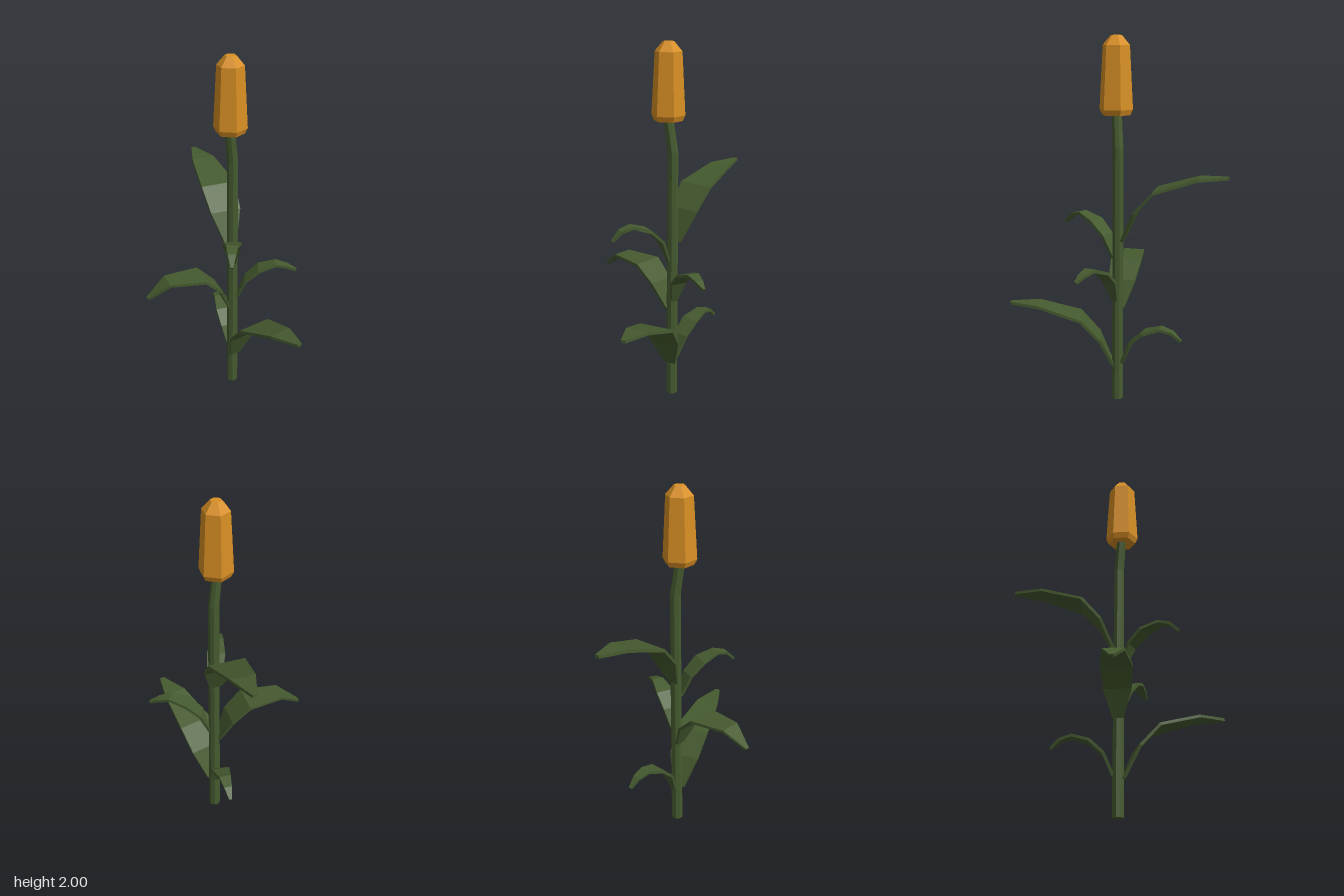
import * as THREE from 'three';

const green = new THREE.MeshStandardMaterial({ name: 'leafGreen', color: 0x455a2f, flatShading: true });
const orange = new THREE.MeshStandardMaterial({ name: 'flowerOrange', color: 0xd88f24, flatShading: true });

const STEM_X = -0.03, STEM_Z = -0.08;

// Leaf cross-sections: [distance from stem axis, height above leaf base, half width]
const broadLeaf = [[0.025, 0, 0.034], [0.1, 0.165, 0.088], [0.205, 0.283, 0.1], [0.433, 0.355, 0.066], [0.588, 0.364, 0.013]];
const bentLeaf = [[0.025, 0, 0.03], [0.09, 0.14, 0.076], [0.186, 0.23, 0.087], [0.385, 0.235, 0.058], [0.502, 0.15, 0.011]];
const smallLeaf = [[0.025, 0, 0.018], [0.075, 0.12, 0.044], [0.15, 0.19, 0.051], [0.245, 0.222, 0.033], [0.31, 0.205, 0.022], [0.36, 0.155, 0.007]];

// Sweep a thin rectangular section along the leaf's arc (runs along +x, width along z)
function leafGeometry(rows, thickness) {
  const pos = [], index = [];
  rows.forEach(([r, y, w], i) => {
    const a = rows[Math.max(i - 1, 0)], b = rows[Math.min(i + 1, rows.length - 1)];
    const len = Math.hypot(b[0] - a[0], b[1] - a[1]);
    const nx = -(b[1] - a[1]) / len * thickness / 2, ny = (b[0] - a[0]) / len * thickness / 2;
    pos.push(r + nx, y + ny, w, r + nx, y + ny, -w, r - nx, y - ny, -w, r - nx, y - ny, w);
  });
  const quad = (a, b, c, d) => index.push(a, b, c, a, c, d);
  for (let i = 0; i < rows.length - 1; i++) {
    for (let j = 0; j < 4; j++) {
      const k = (j + 1) % 4, p = i * 4;
      quad(p + j, p + 4 + j, p + 4 + k, p + k);
    }
  }
  const e = (rows.length - 1) * 4;
  quad(0, 1, 2, 3);
  quad(e + 3, e + 2, e + 1, e);
  const geo = new THREE.BufferGeometry();
  geo.setAttribute('position', new THREE.Float32BufferAttribute(pos, 3));
  geo.setIndex(index);
  const flat = geo.toNonIndexed();
  flat.computeVertexNormals();
  return flat;
}

export function createModel() {
  const model = new THREE.Group();
  model.name = 'flowerPlant';

  // Stem: straight, then bent forward near the flower
  const bendY = 1.42, topY = 1.61;
  const stemGeo = new THREE.CylinderGeometry(0.027, 0.032, topY, 8, 2);
  stemGeo.translate(0, topY / 2, 0);
  const p = stemGeo.attributes.position;
  for (let i = 0; i < p.count; i++) {
    const y = p.getY(i);
    if (y > topY * 0.75) p.setZ(i, p.getZ(i) + 0.027);
    else if (y > 0.1) p.setY(i, bendY);
  }
  const stem = new THREE.Mesh(stemGeo, green);
  stem.name = 'stem';
  stem.position.set(STEM_X, 0, STEM_Z);
  model.add(stem);

  // Flower head: six-sided closed bud with points along z
  const profile = [[0, 1.59], [0.077, 1.59], [0.091, 1.62], [0.073, 1.95], [0.03, 2], [0, 2]];
  const bud = new THREE.Mesh(
    new THREE.LatheGeometry(profile.map(([r, y]) => new THREE.Vector2(r, y)), 6), orange);
  bud.name = 'flowerBud';
  bud.position.set(-0.026, 0, -0.055);
  model.add(bud);

  // Leaves: section rows, base height, tip position in plan (x, z), lift of the tip
  const leaves = [
    ['lowerLeftLeaf', broadLeaf, 0.2, 0.543, 0.063, 0],
    ['upperRightLeaf', broadLeaf, 0.915, -0.545, -0.355, 0],
    ['frontRightLeaf', bentLeaf, 0.525, -0.282, 0.355, 0],
    ['upperFrontSmallLeaf', smallLeaf, 0.815, 0.195, 0.207, 0],
    ['middleBackSmallLeaf', smallLeaf, 0.58, 0.245, -0.293, 0.025],
    ['lowerBackSmallLeaf', smallLeaf, 0.215, -0.335, -0.28, 0.005],
  ];
  for (const [name, rows, y, tipX, tipZ, lift] of leaves) {
    const shaped = rows.map(([r, h, w], i) => [r, i === rows.length - 1 ? h + lift : h, w]);
    const leaf = new THREE.Mesh(leafGeometry(shaped, 0.016), green);
    leaf.name = name;
    leaf.position.set(STEM_X, y, STEM_Z);
    leaf.rotation.y = -Math.atan2(tipZ - STEM_Z, tipX - STEM_X);
    model.add(leaf);
  }
  return model;
}
